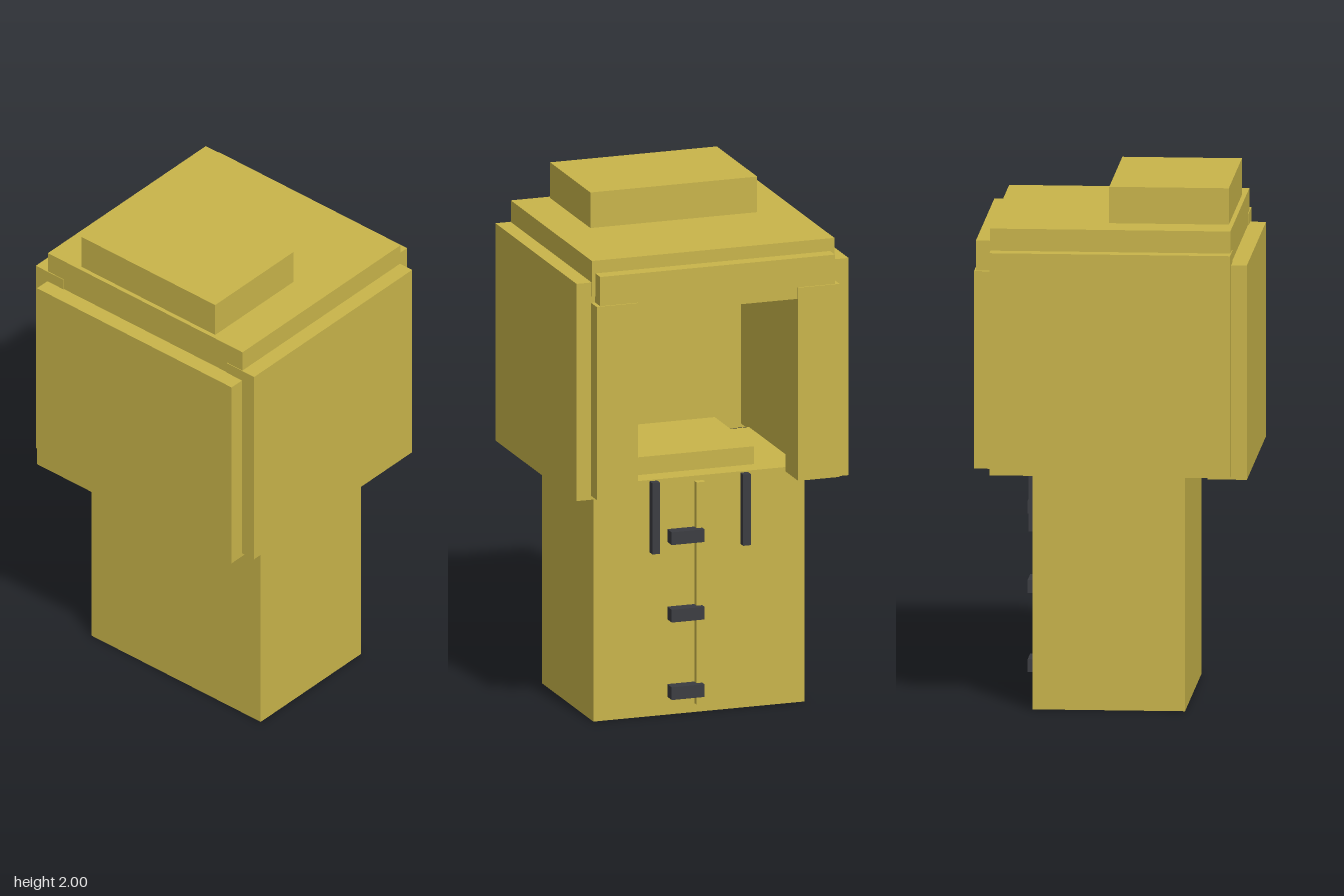
import * as THREE from 'three';

export function createModel() {
  const model = new THREE.Group();
  const gold = new THREE.MeshStandardMaterial({ name: 'gold', color: 0xc8b44a });
  const charcoal = new THREE.MeshStandardMaterial({ name: 'charcoal', color: 0x3a3b40 });

  // Axis-aligned block given by its extents on each axis
  const block = (name, [x0, x1], [y0, y1], [z0, z1], material = gold) => {
    const mesh = new THREE.Mesh(new THREE.BoxGeometry(x1 - x0, y1 - y0, z1 - z0), material);
    mesh.position.set((x0 + x1) / 2, (y0 + y1) / 2, (z0 + z1) / 2);
    mesh.name = name;
    model.add(mesh);
  };
  // The same block on both sides of x = 0
  const pair = (name, [x0, x1], y, z, material) => {
    block(name + 'Left', [x0, x1], y, z, material);
    block(name + 'Right', [-x1, -x0], y, z, material);
  };

  // Pedestal with a raised slab inside the hollow head
  block('pedestal', [-0.425, 0.425], [0, 0.93], [-0.3, 0.28]);
  block('innerSlab', [-0.25, 0.25], [0.93, 1.0], [-0.22, 0.22]);

  // Hollow head made of thick panels, open at the back
  pair('sidePanel', [0.41, 0.548], [0.92, 1.775], [-0.455, 0.46]);
  block('frontPanel', [-0.49, 0.487], [0.905, 1.73], [0.37, 0.52]);
  block('roofPanel', [-0.49, 0.487], [1.72, 1.86], [-0.457, 0.457]);
  block('topBlock', [-0.337, 0.335], [1.86, 2], [-0.015, 0.44]);

  // Frame around the rear opening
  pair('rearPost', [0.322, 0.489], [0.935, 1.695], [-0.518, -0.375]);
  block('rearLintel', [-0.473, 0.473], [1.65, 1.81], [-0.512, -0.37]);

  // Spine, clips and rods on the back of the pedestal
  block('spineStrip', [-0.018, 0.018], [0.035, 0.91], [-0.325, -0.3]);
  for (const y of [0.07, 0.375, 0.68]) {
    block('clip', [-0.005, 0.127], [y, y + 0.05], [-0.35, -0.3], charcoal);
  }
  pair('rod', [0.167, 0.198], [0.645, 0.925], [-0.332, -0.3], charcoal);

  return model;
}
